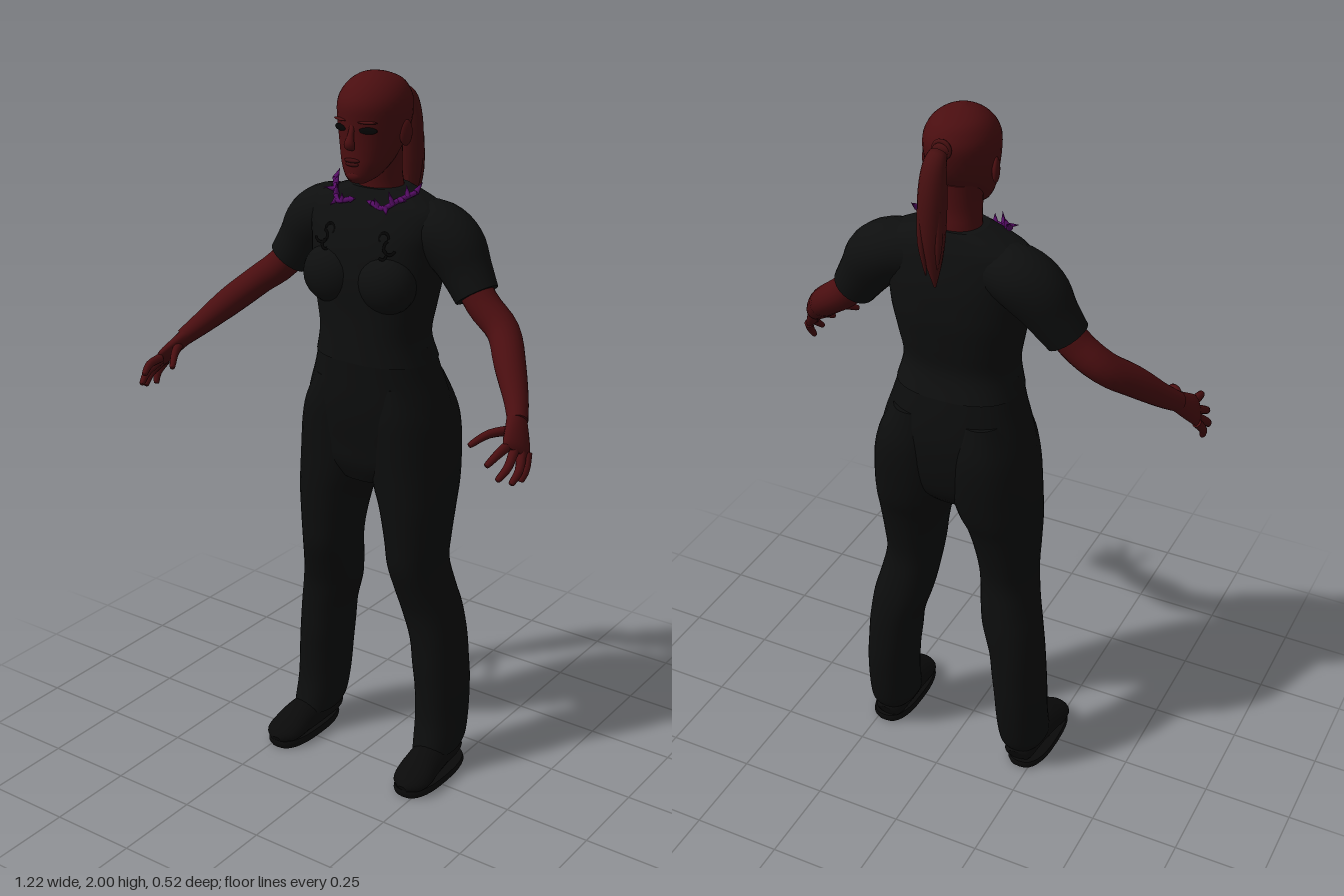
import * as THREE from 'three';

const paint = (name, color) => { const m = new THREE.MeshStandardMaterial({ color }); m.name = name; return m; };
const skin = paint('skin', 0x4a0e10), hair = paint('hair', 0x470f10), lip = paint('lips', 0x3c0b0d);
const shirt = paint('shirt', 0x0e0f0f), trouser = paint('trousers', 0x0c0d0d), shoe = paint('shoes', 0x0a0a0a);
const black = paint('black', 0x040404), purple = paint('purple', 0x560c66);
const V = (x, y, z) => new THREE.Vector3(x, y, z);

// Catmull-Rom interpolation of every column in a table of rows
function smooth(rows, steps) {
  const out = [], n = rows.length - 1;
  for (let i = 0; i < n; i++) {
    const a = rows[Math.max(i - 1, 0)], b = rows[i], c = rows[i + 1], d = rows[Math.min(i + 2, n)];
    for (let s = 0; s < steps; s++) {
      const t = s / steps;
      out.push(b.map((p, k) => p + 0.5 * t * (c[k] - a[k] + t * (2 * a[k] - 5 * p + 4 * c[k] - d[k]
        + t * (3 * (p - c[k]) + d[k] - a[k])))));
    }
  }
  out.push(rows[n]);
  return out;
}

// Closed skin over a list of rings, capped at both ends
function skinRings(rings) {
  const n = rings[0].length, pos = [], index = [], last = rings.length - 1;
  rings.forEach(r => r.forEach(p => pos.push(p.x, p.y, p.z)));
  for (let i = 0; i < last; i++) for (let j = 0; j < n; j++) {
    const a = i * n + j, b = i * n + (j + 1) % n;
    index.push(a, b, a + n, b, b + n, a + n);
  }
  [0, last].forEach(i => {
    const c = rings[i].reduce((s, p) => s.add(p), V(0, 0, 0)).divideScalar(n), base = pos.length / 3;
    rings[i].forEach(p => pos.push(p.x, p.y, p.z));
    pos.push(c.x, c.y, c.z);
    for (let j = 0; j < n; j++) {
      const a = base + j, b = base + (j + 1) % n;
      index.push(base + n, ...(i ? [a, b] : [b, a]));
    }
  });
  const g = new THREE.BufferGeometry();
  g.setAttribute('position', new THREE.Float32BufferAttribute(pos, 3));
  g.setIndex(index);
  g.computeVertexNormals();
  return g;
}

// Horizontal sections, bottom to top: [y, xMin, xMax, zFront, zBack]
function stack(rows, power = 2, sides = 32, steps = 4) {
  const bend = v => Math.sign(v) * Math.abs(v) ** (2 / power);
  return skinRings(smooth(rows, steps).map(([y, x0, x1, zf, zb]) => Array.from({ length: sides }, (_, j) => {
    const a = j / sides * Math.PI * 2;
    return V((x0 + x1) / 2 + (x1 - x0) / 2 * bend(Math.sin(a)), y, (zf + zb) / 2 + (zf - zb) / 2 * bend(Math.cos(a)));
  })));
}
const even = rows => rows.map(([y, rx, zf, zb]) => [y, -rx, rx, zf, zb]);

// Sections along a path: [x, y, z, radius across, radius along ref]
function limb(rows, ref = V(0, 0, 1), sides = 16, steps = 4) {
  const r = smooth(rows, steps), p = r.map(q => V(q[0], q[1], q[2]));
  return skinRings(r.map((q, i) => {
    const t = p[Math.min(i + 1, p.length - 1)].clone().sub(p[Math.max(i - 1, 0)]).normalize();
    const u = ref.clone().cross(t).normalize(), v = t.clone().cross(u);
    return Array.from({ length: sides }, (_, j) => {
      const a = j / sides * Math.PI * 2;
      return p[i].clone().addScaledVector(u, q[3] * Math.cos(a)).addScaledVector(v, q[4] * Math.sin(a));
    });
  }));
}

const ball = (x, y, z, rx, ry, rz, turn = 0) =>
  new THREE.SphereGeometry(1, 20, 14).scale(rx, ry, rz).rotateY(turn).translate(x, y, z);

function mirrored(geo) {
  const g = geo.clone().scale(-1, 1, 1), ix = g.index.array;
  for (let i = 0; i < ix.length; i += 3) [ix[i], ix[i + 1]] = [ix[i + 1], ix[i]];
  return g;
}

export function createModel() {
  const model = new THREE.Group();
  const add = (name, geo, mat) => { const m = new THREE.Mesh(geo, mat); m.name = name; model.add(m); };
  const both = (name, geo, mat) => { add(name + 'Left', geo, mat); add(name + 'Right', mirrored(geo), mat); };

  // Head and neck
  add('head', stack(even([
    [1.725, 0.022, 0.032, 0], [1.74, 0.043, 0.043, -0.05], [1.77, 0.063, 0.045, -0.09],
    [1.8, 0.075, 0.044, -0.12], [1.84, 0.086, 0.044, -0.15], [1.88, 0.093, 0.046, -0.165],
    [1.92, 0.094, 0.047, -0.17], [1.95, 0.085, 0.034, -0.16], [1.975, 0.066, 0.01, -0.14],
    [1.992, 0.038, -0.02, -0.1], [2, 0.006, -0.05, -0.062]])), skin);
  add('neck', stack(even([[1.63, 0.075, -0.03, -0.15], [1.7, 0.063, -0.03, -0.145],
    [1.75, 0.06, -0.025, -0.138], [1.82, 0.062, -0.02, -0.14]])), skin);
  add('nose', limb([[0, 1.875, 0.04, 0.008, 0.006], [0, 1.85, 0.049, 0.009, 0.008],
    [0, 1.828, 0.055, 0.015, 0.012], [0, 1.816, 0.046, 0.01, 0.006]]), skin);
  add('upperLip', ball(0, 1.786, 0.044, 0.024, 0.006, 0.008), lip);
  add('lowerLip', ball(0, 1.776, 0.043, 0.02, 0.006, 0.008), lip);
  add('chin', ball(0, 1.745, 0.027, 0.025, 0.017, 0.02), skin);
  both('eye', ball(0.043, 1.865, 0.033, 0.024, 0.009, 0.006, 0.4), black);
  both('brow', ball(0.043, 1.886, 0.036, 0.026, 0.004, 0.006, 0.4), hair);
  both('ear', ball(0.092, 1.85, -0.065, 0.01, 0.034, 0.02, -0.3), skin);

  // Ponytail with loose strands at the end
  add('ponytail', limb([[0, 1.925, -0.145, 0.02, 0.015], [0, 1.928, -0.18, 0.022, 0.018],
    [0, 1.9, -0.21, 0.03, 0.028], [0, 1.83, -0.222, 0.036, 0.036], [0, 1.74, -0.225, 0.034, 0.033],
    [0, 1.66, -0.222, 0.024, 0.021], [0, 1.58, -0.215, 0.003, 0.003]], V(0, 0.3, 1)), hair);
  for (const [x, z, end] of [[-0.022, -0.235, 1.64], [0.02, -0.24, 1.62], [0.008, -0.205, 1.6]])
    add('ponytailStrand', limb([[x, 1.8, z, 0.012, 0.012], [x, 1.71, z - 0.003, 0.011, 0.011],
      [x * 0.7, end, z + 0.004, 0.002, 0.002]], V(0, 0, 1), 8), hair);
  add('hairTie', new THREE.TorusGeometry(0.021, 0.006, 8, 20).translate(0, 1.928, -0.172), hair);

  // Shirt
  add('shirtBody', stack(even([
    [1.24, 0.17, 0.05, -0.2], [1.31, 0.155, 0.049, -0.18], [1.38, 0.166, 0.049, -0.187],
    [1.45, 0.18, 0.052, -0.196], [1.5, 0.186, 0.047, -0.197], [1.55, 0.19, 0.04, -0.195],
    [1.6, 0.2, 0.025, -0.187], [1.65, 0.195, 0.002, -0.175], [1.68, 0.145, -0.012, -0.163],
    [1.702, 0.078, -0.022, -0.152]]), 2.5, 40), shirt);
  both('bust', ball(0.088, 1.465, 0.012, 0.085, 0.08, 0.06), shirt);
  both('sleeve', limb([[0.09, 1.605, -0.1, 0.07, 0.07], [0.17, 1.597, -0.102, 0.08, 0.085],
    [0.225, 1.56, -0.1, 0.083, 0.08], [0.265, 1.505, -0.095, 0.07, 0.066],
    [0.303, 1.45, -0.086, 0.061, 0.056]], V(0, 0, 1), 24), shirt);

  // Curled marks on the chest
  for (const [x, y, r, turn] of [[0.085, 1.59, 0.014, 0], [0.108, 1.57, 0.018, 2], [0.09, 1.55, 0.012, 4]])
    both('chestCurl', new THREE.TorusGeometry(r, 0.004, 6, 16, 4).rotateZ(turn).rotateX(-0.3)
      .translate(x, y, 0.022 + (1.59 - y) * 0.35), black);

  // Arms
  both('arm', limb([[0.25, 1.53, -0.095, 0.045, 0.045], [0.32, 1.435, -0.083, 0.045, 0.044],
    [0.395, 1.375, -0.068, 0.042, 0.045], [0.455, 1.315, -0.005, 0.04, 0.042],
    [0.51, 1.255, 0.055, 0.031, 0.033], [0.543, 1.218, 0.1, 0.024, 0.028]], V(0, 0, 1), 20), skin);

  // Hands: palm, four fingers spread from little to index, thumb
  const across = V(-0.045, 0.06, 0.095).normalize();
  both('palm', limb([[0.533, 1.228, 0.088, 0.022, 0.027], [0.553, 1.2, 0.118, 0.019, 0.037],
    [0.571, 1.172, 0.15, 0.016, 0.045], [0.576, 1.16, 0.163, 0.01, 0.04]], across), skin);
  const fingers = [
    [[0.588, 1.15, 0.126], [0.599, 1.118, 0.15], [0.595, 1.092, 0.163]],
    [[0.583, 1.155, 0.145], [0.598, 1.125, 0.18], [0.594, 1.1, 0.207]],
    [[0.573, 1.165, 0.165], [0.583, 1.14, 0.21], [0.576, 1.118, 0.242]],
    [[0.559, 1.178, 0.182], [0.56, 1.172, 0.225], [0.552, 1.155, 0.256]],
    [[0.54, 1.2, 0.125], [0.508, 1.2, 0.178], [0.482, 1.18, 0.219]]];
  fingers.forEach(([a, b, c], i) => both(i < 4 ? 'finger' : 'thumb', limb([
    [...a, 0.013, 0.013], [...b, 0.011, 0.011], [...c, 0.008, 0.008],
    c.map((v, k) => v + (c[k] - b[k]) * 0.12).concat(0.003, 0.003)], V(0, 1, 0), 10), skin));

  // Trousers
  add('hips', stack(even([[0.89, 0.1, 0.02, -0.16], [0.94, 0.19, 0.04, -0.205], [1, 0.218, 0.045, -0.222],
    [1.07, 0.217, 0.052, -0.228], [1.13, 0.204, 0.054, -0.225], [1.2, 0.181, 0.051, -0.21],
    [1.28, 0.16, 0.047, -0.185]]), 2.3, 40), trouser);
  both('trouserLeg', stack([
    [0.07, 0.155, 0.272, 0.01, -0.165], [0.1, 0.148, 0.277, -0.002, -0.182], [0.17, 0.142, 0.277, -0.018, -0.195],
    [0.26, 0.137, 0.275, -0.02, -0.203], [0.335, 0.128, 0.27, -0.018, -0.203], [0.415, 0.118, 0.264, -0.018, -0.2],
    [0.5, 0.092, 0.253, -0.012, -0.192], [0.57, 0.08, 0.236, 0.008, -0.18], [0.65, 0.071, 0.222, 0.032, -0.167],
    [0.73, 0.06, 0.226, 0.037, -0.176], [0.82, 0.04, 0.232, 0.041, -0.196], [0.88, 0.018, 0.233, 0.043, -0.217],
    [0.95, 0.002, 0.231, 0.044, -0.23], [1.03, 0.002, 0.224, 0.046, -0.238], [1.1, 0.01, 0.206, 0.046, -0.234],
    [1.18, 0.03, 0.165, 0.035, -0.21]], 2.3), trouser);

  // Shoes
  both('shoe', limb([[0.215, 0.045, -0.158, 0.025, 0.025], [0.215, 0.05, -0.14, 0.043, 0.037],
    [0.217, 0.057, -0.06, 0.05, 0.05], [0.222, 0.052, 0.01, 0.054, 0.045], [0.226, 0.04, 0.065, 0.056, 0.032],
    [0.226, 0.033, 0.1, 0.045, 0.024], [0.225, 0.027, 0.12, 0.015, 0.01]], V(0, 1, 0), 20), shoe);
  both('sole', stack([[0, 0.165, 0.283, 0.117, -0.155], [0.012, 0.161, 0.289, 0.122, -0.16],
    [0.024, 0.165, 0.285, 0.12, -0.158]], 2.6, 32, 2), shoe);

  // Thorny collar ornaments
  const stem = new THREE.CatmullRomCurve3([V(0.035, 1.672, 0.004), V(0.07, 1.664, 0.008),
    V(0.098, 1.682, -0.022), V(0.128, 1.7, -0.06)]);
  both('collarStem', new THREE.TubeGeometry(stem, 20, 0.007, 8), purple);
  for (const [t, x, y, z, len] of [[0, -0.8, 0.2, 0, 0.02], [0.2, -0.2, 1, 0.3, 0.026], [0.4, 0.5, -0.6, 0.5, 0.025],
    [0.55, -0.2, 1, 0.2, 0.036], [0.7, 1, 0.1, 0.4, 0.034], [0.85, -0.3, 1, -0.2, 0.03], [1, 0.1, 0.7, -0.8, 0.036]]) {
    const dir = V(x, y, z).normalize(), g = new THREE.ConeGeometry(0.009, len, 8).translate(0, len / 2, 0);
    g.applyQuaternion(new THREE.Quaternion().setFromUnitVectors(V(0, 1, 0), dir));
    both('collarThorn', g.translate(...stem.getPoint(t).toArray()), purple);
  }
  return model;
}
